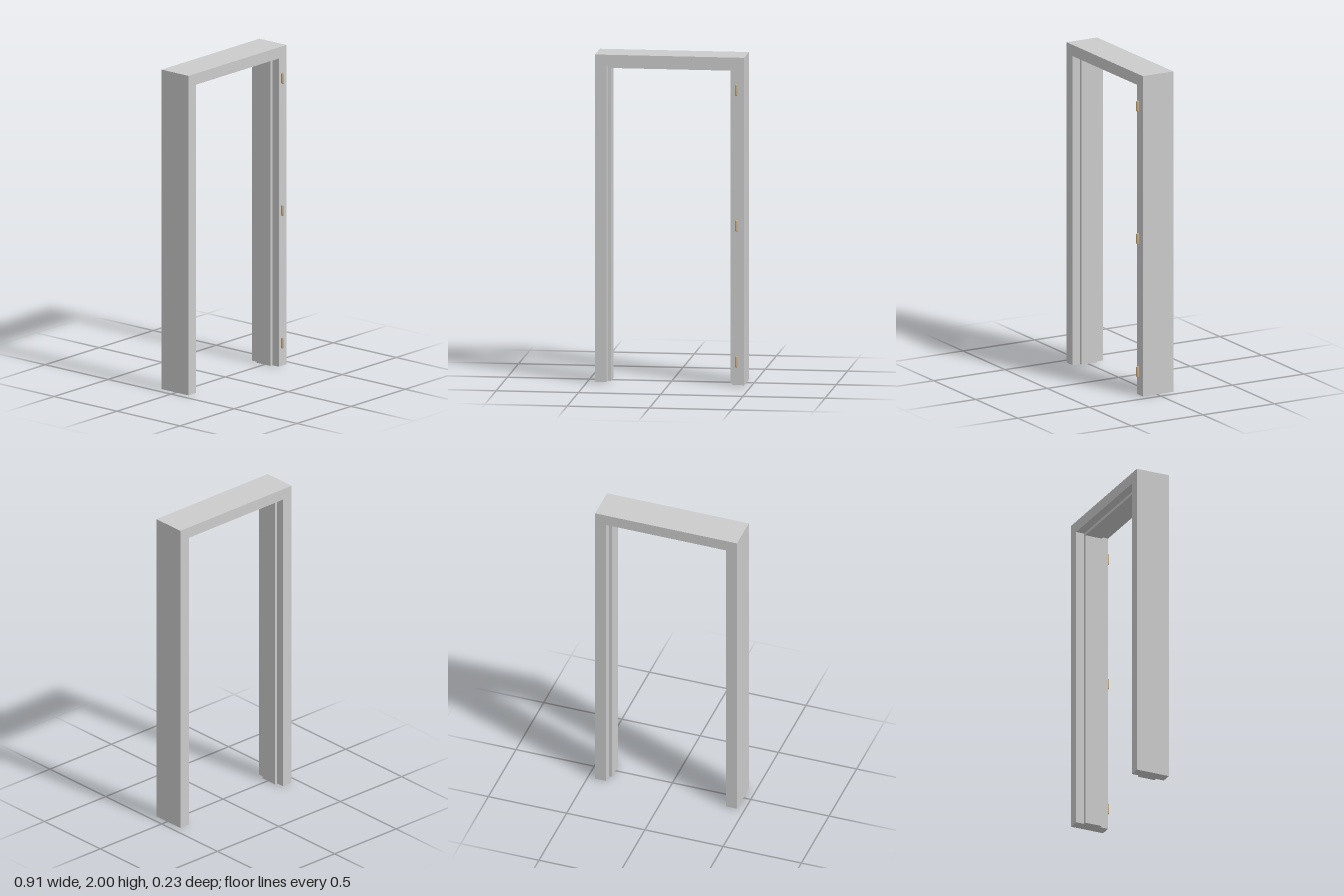
import * as THREE from 'three';

const HALF = 0.453, TOP = 2, FRONT = 0.098, BACK = -0.116;

export function createModel() {
  const group = new THREE.Group();
  group.name = 'doorFrame';
  const grey = new THREE.MeshStandardMaterial({ color: 0xcccccc });
  const brass = new THREE.MeshStandardMaterial({ color: 0xc8ae86 });

  // Cross-section: x = distance in from the outer edge, y = depth; the raised middle is the door stop
  const face = 0.07, stop = 0.089, rebate = 0.052;
  const profile = new THREE.Shape([
    [0, BACK], [face, BACK], [face, BACK + rebate], [stop, BACK + rebate],
    [stop, FRONT - rebate], [face, FRONT - rebate], [face, FRONT], [0, FRONT],
  ].map(([d, z]) => new THREE.Vector2(d, z)));

  // Extrude the profile, then lay it along one leg of the frame with mitred ends
  function addLeg(name, place) {
    const geo = new THREE.ExtrudeGeometry(profile, { depth: 1, bevelEnabled: false });
    const p = geo.attributes.position;
    for (let i = 0; i < p.count; i++) {
      const [x, y] = place(p.getX(i), p.getZ(i));
      p.setXYZ(i, x, y, p.getY(i));
    }
    geo.computeVertexNormals();
    const mesh = new THREE.Mesh(geo, grey);
    mesh.name = name;
    group.add(mesh);
  }
  addLeg('leftJamb', (d, t) => [HALF - d, t * (TOP - d)]);
  addLeg('header', (d, t) => [(HALF - d) * (1 - 2 * t), TOP - d]);
  addLeg('rightJamb', (d, t) => [d - HALF, (1 - t) * (TOP - d)]);

  // Hinge barrels with chamfered ends on the left jamb
  const r = 0.009, h = 0.034;
  const barrel = new THREE.LatheGeometry(
    [[0, -h], [r * 0.6, -h], [r, -h + 0.005], [r, h - 0.005], [r * 0.6, h], [0, h]]
      .map(([x, y]) => new THREE.Vector2(x, y)), 12);
  [0.145, 0.975, 1.803].forEach((y, i) => {
    const hinge = new THREE.Mesh(barrel, brass);
    hinge.name = `hinge${i + 1}`;
    hinge.position.set(0.407, y, 0.107);
    group.add(hinge);
  });
  return group;
}
